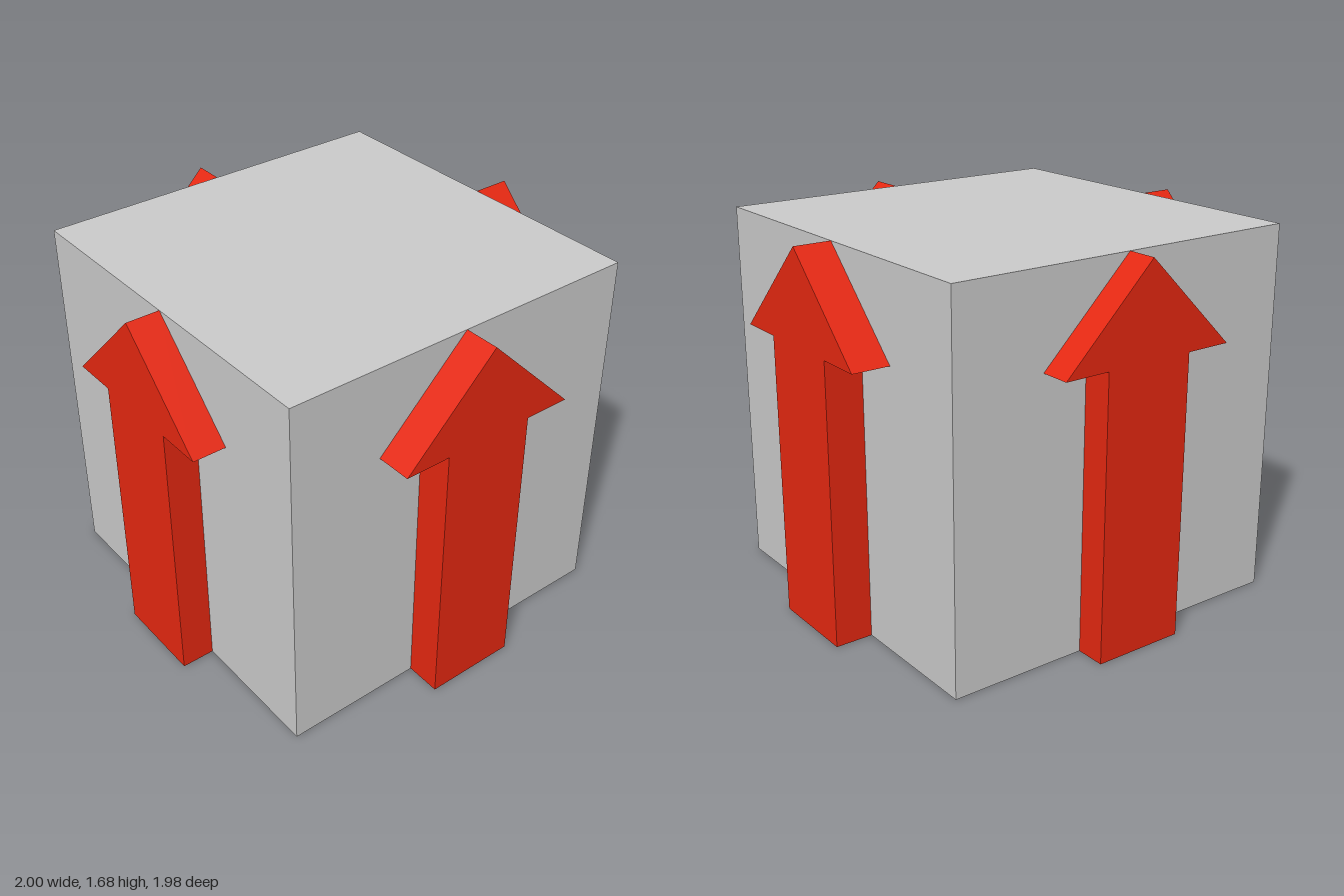
import * as THREE from 'three';

const SIZE = 1.68, HALF = SIZE / 2;
const CX = -0.01, CZ = -0.015;

// Upright arrow outline, standing on y = 0
function arrowShape() {
  const shaft = 0.21, head = 0.42, neck = 1.265;
  return new THREE.Shape([
    [-shaft, 0], [shaft, 0], [shaft, neck], [head, neck],
    [0, SIZE], [-head, neck], [-shaft, neck],
  ].map(([x, y]) => new THREE.Vector2(x, y)));
}

export function createModel() {
  const group = new THREE.Group();
  const grey = new THREE.MeshStandardMaterial({ color: 0xcccccc, flatShading: true });
  const red = new THREE.MeshStandardMaterial({ color: 0xe62811, flatShading: true });

  // Central block
  const block = new THREE.Mesh(new THREE.BoxGeometry(SIZE, SIZE, SIZE), grey);
  block.name = 'block';
  block.position.set(CX, HALF, CZ);
  group.add(block);

  // One raised arrow on each side: name, turn about y, thickness
  const sides = [
    ['frontArrow', 0, 0.16],
    ['leftArrow', Math.PI / 2, 0.17],
    ['backArrow', Math.PI, 0.135],
    ['rightArrow', -Math.PI / 2, 0.15],
  ];
  for (const [name, turn, depth] of sides) {
    const geometry = new THREE.ExtrudeGeometry(arrowShape(), { depth, bevelEnabled: false });
    geometry.translate(0, 0, HALF);
    const arrow = new THREE.Mesh(geometry, red);
    arrow.name = name;
    arrow.rotation.y = turn;
    arrow.position.set(CX, 0, CZ);
    group.add(arrow);
  }
  return group;
}
